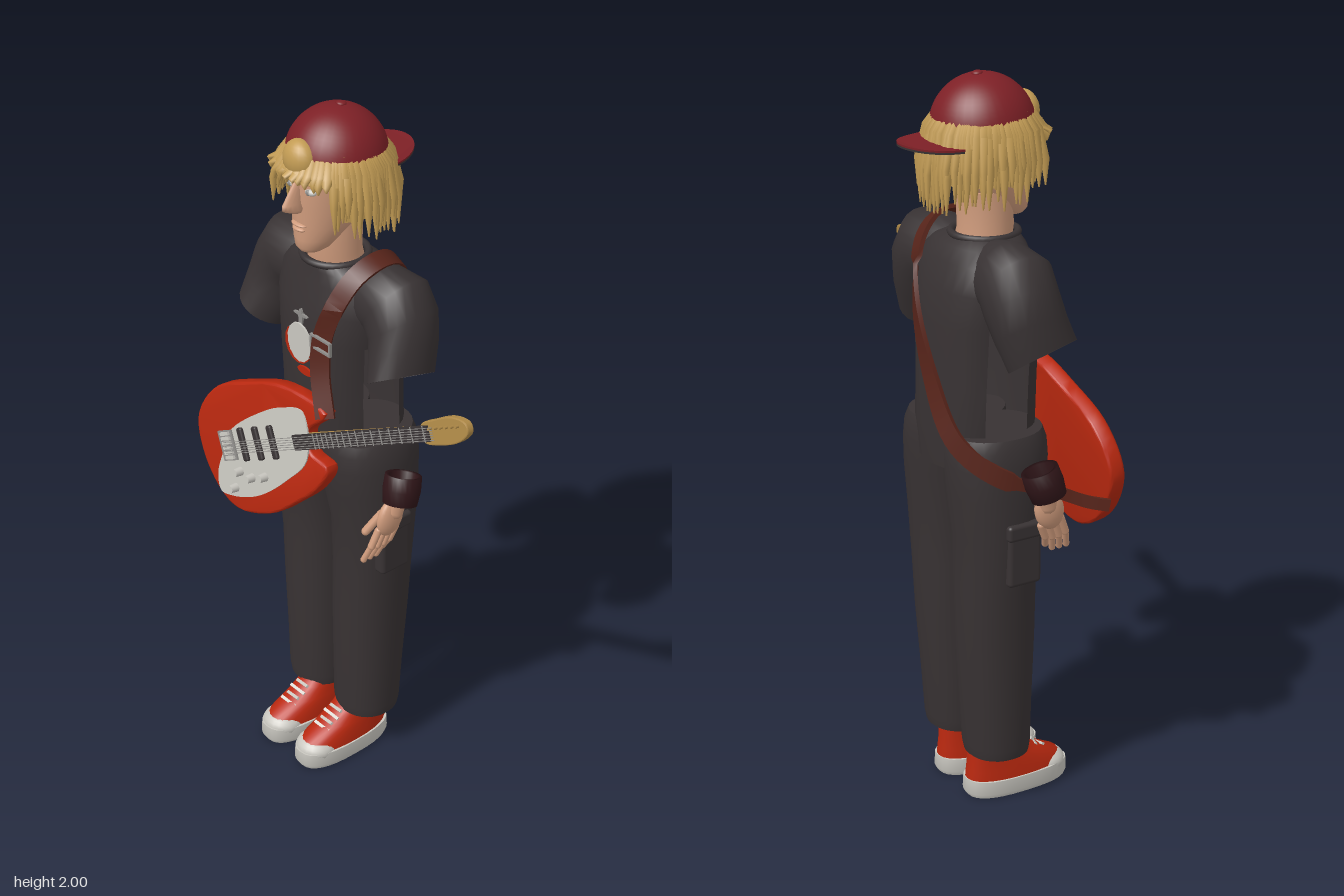
import * as THREE from 'three';
import { toCreasedNormals } from 'three/addons/utils/BufferGeometryUtils.js';
import { RoundedBoxGeometry } from 'three/addons/geometries/RoundedBoxGeometry.js';

const CX = -0.155; // centre line of the figure
const V = (x, y, z) => new THREE.Vector3(x, y, z);
const mat = (name, color, double) => new THREE.MeshStandardMaterial({ name, color, side: double ? THREE.DoubleSide : THREE.FrontSide });

export function createModel() {
  const M = {
    skin: mat('skin', 0xcf9b7c), hair: mat('blond hair', 0xc39c54, true), cap: mat('dark red cap', 0x7d2026, true),
    cloth: mat('black cloth', 0x383233, true), red: mat('bright red', 0xb9280f), white: mat('off white', 0xc9c7c0),
    strap: mat('brown leather', 0x57241a), band: mat('maroon band', 0x2f1518, true), silver: mat('silver', 0x8f8d8a), wood: mat('maple wood', 0xb08a48),
  };
  const root = new THREE.Group();
  root.name = 'guitarist';
  let seed = 7;
  const rand = () => (seed = (seed * 16807) % 2147483647) / 2147483647;

  function add(name, geo, material, p = [0, 0, 0], parent = root) {
    const m = new THREE.Mesh(geo, material);
    m.name = name;
    m.position.set(...p);
    parent.add(m);
    return m;
  }
  // surface through rings of points, listed from bottom to top
  function skinRings(rings, { skip = () => false, caps = true } = {}) {
    const pos = [], idx = [], n = rings[0].length;
    const push = (r) => r.forEach((p) => pos.push(p.x, p.y, p.z));
    rings.forEach(push);
    for (let i = 0; i < rings.length - 1; i++) for (let j = 0; j < n; j++) {
      if (skip(i, j)) continue;
      const a = i * n + j, b = i * n + (j + 1) % n;
      idx.push(a, a + n, b, b, a + n, b + n);
    }
    if (caps) [rings[0], rings[rings.length - 1]].forEach((r, top) => {
      const s = pos.length / 3;
      push(r);
      push([r.reduce((c, p) => c.add(p), V(0, 0, 0)).divideScalar(n)]);
      for (let j = 0; j < n; j++) {
        const k = (j + 1) % n;
        idx.push(s + n, s + (top ? k : j), s + (top ? j : k));
      }
    });
    const g = new THREE.BufferGeometry();
    g.setAttribute('position', new THREE.Float32BufferAttribute(pos, 3));
    g.setIndex(idx);
    g.computeVertexNormals();
    return g;
  }
  // rings given as [x, y, z, rx, rz, tilt, pitch]
  function loft(list, n = 24, power = 2, opt) {
    const f = (v) => Math.sign(v) * Math.abs(v) ** (2 / power);
    return skinRings(list.map(([x, y, z, rx, rz, tilt = 0, pitch = 0]) => Array.from({ length: n }, (_, j) => {
      const t = (j / n) * Math.PI * 2;
      return V(rx * f(Math.cos(t)), 0, rz * f(Math.sin(t)))
        .applyAxisAngle(V(0, 0, 1), tilt).applyAxisAngle(V(1, 0, 0), pitch).add(V(x, y, z));
    })), opt);
  }
  function ball(name, material, p, r, parent) {
    const m = add(name, new THREE.SphereGeometry(1, 20, 14), material, p, parent);
    m.scale.set(...r);
    return m;
  }
  function limb(name, material, a, b, r) {
    const d = b.clone().sub(a);
    const m = add(name, new THREE.CapsuleGeometry(r, d.length(), 4, 10), material, a.clone().add(b).multiplyScalar(0.5).toArray());
    m.quaternion.setFromUnitVectors(V(0, 1, 0), d.normalize());
  }

  // shirt, open at the sides below the sleeves
  add('shirt', loft([[0.98, 0.15, 0.14, -0.035], [1.08, 0.165, 0.146, -0.035], [1.2, 0.165, 0.146, -0.032], [1.37, 0.175, 0.146, -0.03],
    [1.46, 0.19, 0.135, -0.03], [1.53, 0.185, 0.115, -0.03], [1.565, 0.14, 0.1, -0.02], [1.585, 0.09, 0.082, -0.008]]
    .map(([y, rx, rz, z]) => [CX, y, z, rx, rz]), 32, 2.3,
  { caps: false, skip: (i, j) => (i === 1 || i === 2) && (j < 2 || j > 29 || (j > 13 && j < 18)) }), M.cloth);
  const collar = add('collar', new THREE.TorusGeometry(0.087, 0.01, 8, 32), M.cloth, [CX, 1.583, -0.008]);
  collar.rotation.x = Math.PI / 2;

  // chest print
  const print = (name, m, x, y, rx, ry, z = 0.118) => {
    const d = add(name, new THREE.CylinderGeometry(1, 1, 0.006, 14), m, [CX + x, y, z]);
    d.rotation.x = Math.PI / 2;
    d.scale.set(rx, 1, ry);
  };
  print('printShadow', M.red, -0.008, 1.345, 0.052, 0.056, 0.116);
  print('printBody', M.white, 0, 1.355, 0.047, 0.058);
  print('printFoot', M.red, 0.02, 1.275, 0.03, 0.012, 0.117);
  print('printStem', M.silver, 0, 1.425, 0.008, 0.03, 0.112);
  print('printBar', M.silver, 0, 1.437, 0.028, 0.005, 0.112);

  for (const s of [-1, 1]) {
    const X = (o) => CX + s * o;
    // sleeves, legs and pockets
    add('sleeve', loft([[X(0.268), 1.32, 0, 0.079, 0.1, s * 0.53, -0.25], [X(0.25), 1.39, -0.025, 0.09, 0.1, s * 0.55, -0.12],
      [X(0.232), 1.45, -0.04, 0.1, 0.1, s * 0.66], [X(0.2), 1.497, -0.04, 0.108, 0.1, s * 0.96], [X(0.14), 1.5, -0.035, 0.1, 0.09, s * 1.4],
      [X(0.08), 1.5, -0.03, 0.085, 0.075, s * 1.5]], 24, 2, { caps: false }), M.cloth);
    add('trouserLeg', loft([[0.14, 0.1, -0.025, 0.088, 0.085], [0.17, 0.1, -0.026, 0.093, 0.09], [0.3, 0.101, -0.03, 0.096, 0.096],
      [0.5, 0.105, -0.036, 0.101, 0.106], [0.65, 0.109, -0.04, 0.106, 0.108], [0.8, 0.114, -0.04, 0.111, 0.116],
      [0.92, 0.107, -0.036, 0.118, 0.134], [1.0, 0.104, -0.035, 0.119, 0.139], [1.05, 0.097, -0.035, 0.12, 0.138], [1.08, 0.09, -0.035, 0.113, 0.13]]
      .map(([y, o, z, rx, rz]) => [X(o), y, z, rx, rz]), 28, 2.2), M.cloth);
    add('cargoPocket', new RoundedBoxGeometry(0.04, 0.16, 0.1, 3, 0.012), M.cloth, [X(0.213), 0.755, -0.02]);
    add('pocketFlap', new RoundedBoxGeometry(0.046, 0.045, 0.108, 3, 0.01), M.cloth, [X(0.215), 0.83, -0.02]);

    // shoes
    add('sole', toCreasedNormals(loft([[X(0.076), 0, 0.052, 0.066, 0.152], [X(0.076), 0.012, 0.052, 0.07, 0.158],
      [X(0.076), 0.05, 0.052, 0.069, 0.156]], 32, 2.6), 0.8), M.white);
    add('shoeUpper', loft([[0.045, 0.05, 0.065, 0.152], [0.075, 0.042, 0.062, 0.142], [0.105, 0.012, 0.056, 0.108],
      [0.135, -0.012, 0.052, 0.083], [0.17, -0.025, 0.05, 0.065]].map(([y, z, rx, rz]) => [X(0.076), y, z, rx, rz]), 28, 2.3), M.red);
    ball('toeCap', M.white, [X(0.076), 0.045, 0.145], [0.061, 0.038, 0.06]);
    for (let i = 0; i < 4; i++) {
      const lace = add('lace', new THREE.BoxGeometry(0.055, 0.007, 0.009), M.white, [X(0.076), 0.1 + i * 0.013, 0.125 - i * 0.018]);
      lace.rotation.set(0.6, 0, i % 2 ? 0.2 : -0.2);
    }

    // wristband, a thick open ring
    const wrist = add('wristband', new THREE.LatheGeometry([[0.036, -0.035], [0.047, -0.04], [0.052, 0], [0.05, 0.04], [0.039, 0.038], [0.036, -0.035]]
      .map((p) => new THREE.Vector2(...p)), 24), M.band, [X(0.278), 0.978, 0.003]);
    wrist.rotation.set(-0.3, 0, s * 0.15);
    // hand
    limb('wrist', M.skin, V(X(0.273), 0.96, 0.008), V(X(0.266), 0.91, 0.02), 0.026);
    const palm = ball('palm', M.skin, [X(0.262), 0.892, 0.03], [0.021, 0.056, 0.043]);
    palm.rotation.x = -0.3;
    for (let i = 0; i < 4; i++) {
      const knuckle = V(X(0.258), 0.862 - i * 0.004, 0.068 - i * 0.02), mid = V(X(0.252), 0.815 - Math.sin(i) * 0.006, 0.088 - i * 0.021);
      limb('finger', M.skin, knuckle, mid, 0.0105);
      limb('fingertip', M.skin, mid, V(X(0.236), 0.77 + (i === 3 ? 0.015 : 0), 0.102 - i * 0.022), 0.009);
    }
    limb('thumb', M.skin, V(X(0.25), 0.905, 0.05), V(X(0.225), 0.85, 0.085), 0.012);

    // ears and eyes
    ball('ear', M.skin, [X(0.102), 1.785, -0.01], [0.015, 0.036, 0.024]);
    ball('eye', M.white, [X(0.036), 1.805, 0.103], [0.02, 0.01, 0.012]);
    ball('iris', M.silver, [X(0.036), 1.805, 0.111], [0.008, 0.008, 0.005]);
    const brow = ball('eyebrow', M.hair, [X(0.038), 1.832, 0.108], [0.026, 0.005, 0.01]);
    brow.rotation.z = -s * 0.12;
  }

  // head and face
  add('neck', loft([[CX, 1.52, -0.02, 0.08, 0.075], [CX, 1.6, -0.005, 0.071, 0.074], [CX, 1.7, -0.01, 0.07, 0.075]]), M.skin);
  add('head', loft([[1.622, 0.07, 0.03, 0.035], [1.635, 0.06, 0.046, 0.055], [1.66, 0.042, 0.06, 0.075], [1.7, 0.02, 0.077, 0.097],
    [1.76, 0.002, 0.089, 0.116], [1.82, -0.004, 0.096, 0.122], [1.88, -0.008, 0.1, 0.12], [1.94, -0.01, 0.075, 0.09]]
    .map(([y, z, rx, rz]) => [CX, y, z, rx, rz])), M.skin);
  add('nose', loft([[CX, 1.742, 0.118, 0.014, 0.02], [CX, 1.755, 0.13, 0.021, 0.035], [CX, 1.77, 0.13, 0.014, 0.036],
    [CX, 1.825, 0.11, 0.008, 0.018]], 14), M.skin);
  ball('upperLip', M.skin, [CX, 1.704, 0.112], [0.027, 0.006, 0.014]);
  ball('lowerLip', M.skin, [CX, 1.691, 0.112], [0.023, 0.007, 0.014]);
  ball('chin', M.skin, [CX, 1.645, 0.09], [0.03, 0.022, 0.024]);

  // hair: inner curtain plus two layers of tapering strands
  const curtain = add('hairCurtain', new THREE.CylinderGeometry(1, 1.06, 0.18, 40, 1, true, 1.05, Math.PI * 2 - 2.1), M.hair, [CX, 1.82, -0.012]);
  curtain.scale.set(0.122, 1, 0.128);
  const strands = new THREE.Group();
  strands.name = 'hairStrands';
  root.add(strands);
  for (let i = 0; i < 110; i++) {
    const a = (i / 55) * Math.PI * 2 + rand() * 0.08, side = Math.abs(Math.atan2(Math.sin(a), Math.cos(a)));
    const tip = (side < 0.75 ? 1.835 : side < 1.15 ? 1.74 : side < 2 ? 1.715 : 1.69) + (rand() - 0.6) * 0.06 * (side < 0.75 ? 0.5 : 1);
    const at = (r, y, w) => [CX + Math.sin(a) * r, y, -0.012 + Math.cos(a) * (r + 0.005), w, w];
    const flare = 0.148 + rand() * 0.016;
    add('strand', loft([at(flare, tip, 0.002), at(flare - 0.003, tip + (1.87 - tip) * 0.45, 0.012),
      at(0.135, 1.865, 0.017), at(0.112, 1.9, 0.014)], 6), M.hair, [0, 0, 0], strands);
  }
  ball('foreheadTuft', M.hair, [CX, 1.885, 0.105], [0.052, 0.054, 0.04]);

  // backward cap
  const cap = new THREE.Group();
  cap.name = 'cap';
  cap.position.set(CX, 1.858, -0.015);
  cap.rotation.x = -0.12;
  root.add(cap);
  const dome = add('capDome', new THREE.SphereGeometry(1, 36, 16, 0, Math.PI * 2, 0, Math.PI / 2), M.cap, [0, 0, 0], cap);
  dome.scale.set(0.134, 0.139, 0.138);
  ball('capButton', M.cap, [0, 0.139, 0], [0.014, 0.007, 0.014], cap);
  const brimShape = new THREE.Shape();
  brimShape.moveTo(-0.108, 0).bezierCurveTo(-0.11, 0.22, 0.11, 0.22, 0.108, 0);
  const brimGeo = new THREE.ExtrudeGeometry(brimShape, { depth: 0.005, bevelEnabled: false, curveSegments: 24 });
  brimGeo.rotateX(-Math.PI / 2);
  const bp = brimGeo.attributes.position;
  for (let i = 0; i < bp.count; i++) bp.setY(i, bp.getY(i) - 1.2 * bp.getX(i) ** 2);
  brimGeo.computeVertexNormals();
  for (const [name, m, y] of [['brim', M.cap, 1.846], ['brimUnderside', M.cloth, 1.841]])
    add(name, brimGeo, m, [CX, y, -0.088]).rotation.x = -0.05;

  // strap ribbon around the body
  const path = new THREE.CatmullRomCurve3([[-0.01, 1.2, 0.155], [-0.052, 1.32, 0.135], [-0.057, 1.41, 0.122], [-0.035, 1.5, 0.1], [-0.01, 1.585, 0.045],
    [-0.005, 1.608, -0.04], [-0.03, 1.56, -0.12], [-0.085, 1.42, -0.172], [-0.18, 1.23, -0.186], [-0.29, 1.07, -0.172],
    [-0.38, 0.99, -0.09], [-0.425, 0.95, 0.03], [-0.46, 0.91, 0.12], [-0.49, 0.9, 0.17]].map((p) => V(...p)));
  const ribbon = [];
  for (let i = 0; i <= 70; i++) {
    const p = path.getPointAt(i / 70), T = path.getTangentAt(i / 70), out = p.clone().sub(V(CX, 1.3, -0.03));
    out.y *= p.y > 1.5 ? 1 : 0.1;
    const Z = out.cross(T).normalize(), N = T.clone().cross(Z).normalize(), w = i > 58 ? 0.016 : 0.026;
    ribbon.push([[1, 1], [-1, 1], [-1, -1], [1, -1]].map(([a, b]) => p.clone().addScaledVector(N, a * 0.006).addScaledVector(Z, b * w)));
  }
  add('strap', toCreasedNormals(skinRings(ribbon), 0.7), M.strap);
  for (const y of [1.385, 1.42]) add('buckleBar', new THREE.BoxGeometry(0.075, 0.006, 0.008), M.silver, [-0.045, y, 0.138]);
  for (const x of [-0.082, -0.008]) add('buckleSide', new THREE.BoxGeometry(0.006, 0.04, 0.008), M.silver, [x, 1.402, 0.138]);

  // guitar, local x along the neck
  const guitar = new THREE.Group();
  guitar.name = 'guitar';
  guitar.position.set(-0.25, 1.0, 0.175);
  guitar.rotation.set(-0.12, 0.03, 0.471, 'YXZ');
  root.add(guitar);
  const part = (name, geo, m, p) => add(name, geo, m, p, guitar);
  const box = (name, m, w, h, d, x, y, z) => part(name, new THREE.BoxGeometry(w, h, d), m, [x, y, z]);
  const outline = (pts) => new THREE.Shape(new THREE.CatmullRomCurve3(pts.map(([x, y]) => V(x, y, 0)), true).getPoints(72).map((p) => new THREE.Vector2(p.x, p.y)));
  part('guitarBody', toCreasedNormals(new THREE.ExtrudeGeometry(outline([[0.31, 0.082], [0.17, 0.164], [0.031, 0.182], [-0.119, 0.178], [-0.222, 0.108], [-0.238, 0],
    [-0.202, -0.106], [-0.147, -0.157], [-0.008, -0.174], [0.108, -0.147], [0.21, -0.112], [0.266, -0.066], [0.215, -0.02], [0.225, 0.045]]),
  { depth: 0.028, bevelThickness: 0.009, bevelSize: 0.007, bevelSegments: 3 }), 0.7), M.red, [0, 0, -0.014]);
  part('pickguard', new THREE.ExtrudeGeometry(outline([[0.236, 0.095], [0.15, 0.112], [0.064, 0.105], [-0.094, 0.06], [-0.15, 0.0], [-0.194, -0.056], [-0.2, -0.105],
    [-0.156, -0.123], [-0.043, -0.128], [0.101, -0.088], [0.208, -0.033]]), { depth: 0.005, bevelEnabled: false }), M.white, [0, 0, 0.022]);
  for (const x of [-0.045, 0.02, 0.085]) part('pickup', new RoundedBoxGeometry(0.022, 0.095, 0.014, 2, 0.006), M.cloth, [x, 0.02, 0.03]);
  box('bridgePlate', M.silver, 0.06, 0.085, 0.008, -0.115, 0.02, 0.028);
  for (let i = 0; i < 6; i++) box('saddle', M.white, 0.035, 0.009, 0.009, -0.11, -0.013 + i * 0.0135, 0.035);
  for (const [x, y] of [[-0.09, -0.055], [-0.045, -0.075], [-0.128, -0.1], [0.012, -0.075]])
    part('knob', new THREE.CylinderGeometry(0.011, 0.013, 0.026, 16).rotateX(Math.PI / 2), M.white, [x, y, 0.038]);
  part('neckBack', new THREE.CylinderGeometry(0.018, 0.022, 0.54, 16).rotateZ(-Math.PI / 2).scale(1, 1, 0.75), M.wood, [0.455, 0.015, 0.014]);
  box('fretboard', M.cloth, 0.54, 0.042, 0.008, 0.445, 0.015, 0.029);
  for (let i = 0; i < 16; i++) box('fret', M.silver, 0.003, 0.042, 0.003, 0.7 - 0.46 * (1 - 0.93 ** i) / 0.7, 0.015, 0.033);
  for (let i = 0; i < 6; i++) box('string', M.silver, 0.86, 0.0016, 0.0016, 0.31, -0.001 + i * 0.0064, 0.039);
  part('headstock', new THREE.ExtrudeGeometry(outline([[0.69, -0.006], [0.69, 0.036], [0.735, 0.045], [0.81, 0.048], [0.85, 0.03], [0.85, 0.008], [0.81, -0.012], [0.735, -0.015]]),
    { depth: 0.016, bevelThickness: 0.003, bevelSize: 0.003, bevelSegments: 2 }), M.wood, [0, 0, 0.008]);
  for (let i = 0; i < 6; i++)
    part('tuningPost', new THREE.CylinderGeometry(0.004, 0.004, 0.012, 8).rotateX(Math.PI / 2), M.wood, [0.725 + i * 0.02, 0.028, 0.032]);

  return root;
}
